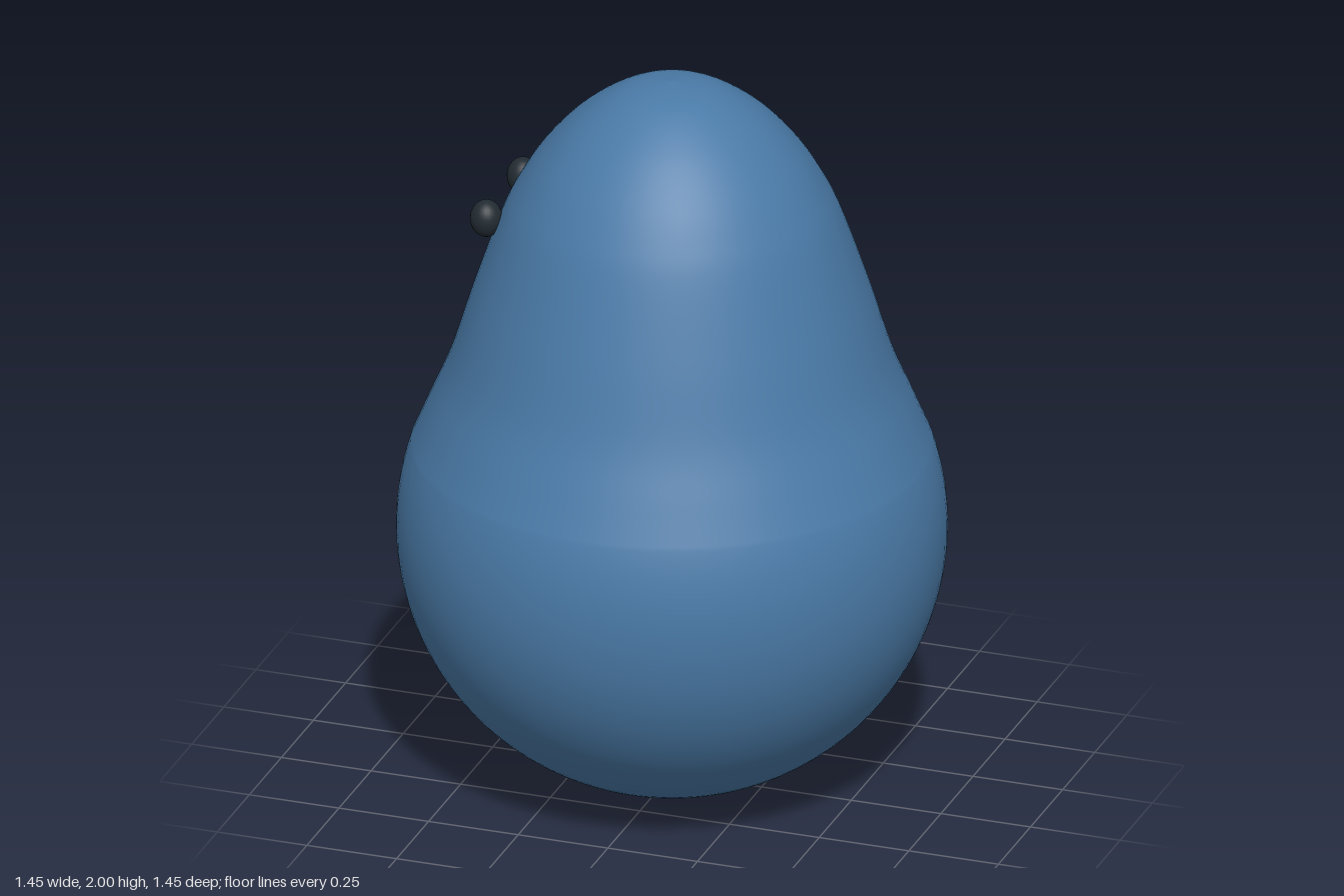
import * as THREE from 'three';

const bodyBlue = new THREE.MeshStandardMaterial({ color: 0x4a7aa7 });
bodyBlue.name = 'bodyBlue';
const eyeBlack = new THREE.MeshStandardMaterial({ color: 0x222b32 });
eyeBlack.name = 'eyeBlack';

export function createModel() {
  const model = new THREE.Group();
  model.name = 'pearCreature';

  // Round belly: spherical arc from the bottom pole to just above the widest point
  const R = 0.725;
  const points = [];
  for (let i = 0; i <= 40; i++) {
    const a = -Math.PI / 2 + (i / 40) * (Math.PI / 2 + 0.32);
    points.push(new THREE.Vector2(Math.max(0, R * Math.cos(a)), R + R * Math.sin(a)));
  }

  // Tapering neck and domed head
  const upper = new THREE.SplineCurve([
    points[points.length - 1].clone(),
    new THREE.Vector2(0.643, 1.06),
    new THREE.Vector2(0.585, 1.2),
    new THREE.Vector2(0.522, 1.4),
    new THREE.Vector2(0.452, 1.6),
    new THREE.Vector2(0.405, 1.7),
    new THREE.Vector2(0.34, 1.8),
    new THREE.Vector2(0.245, 1.9),
    new THREE.Vector2(0.125, 1.976),
    new THREE.Vector2(0, 2),
  ]);
  points.push(...upper.getPoints(54).slice(1));

  const body = new THREE.Mesh(new THREE.LatheGeometry(points, 96), bodyBlue);
  body.name = 'body';
  model.add(body);

  // Pair of bead eyes on the -x side
  const eyeGeometry = new THREE.SphereGeometry(1, 24, 16);
  for (const side of [-1, 1]) {
    const eye = new THREE.Mesh(eyeGeometry, eyeBlack);
    eye.name = side > 0 ? 'frontSideEye' : 'backSideEye';
    eye.position.set(-0.467, 1.594, side * 0.143);
    eye.scale.set(0.043, 0.051, 0.043);
    model.add(eye);
  }
  return model;
}
